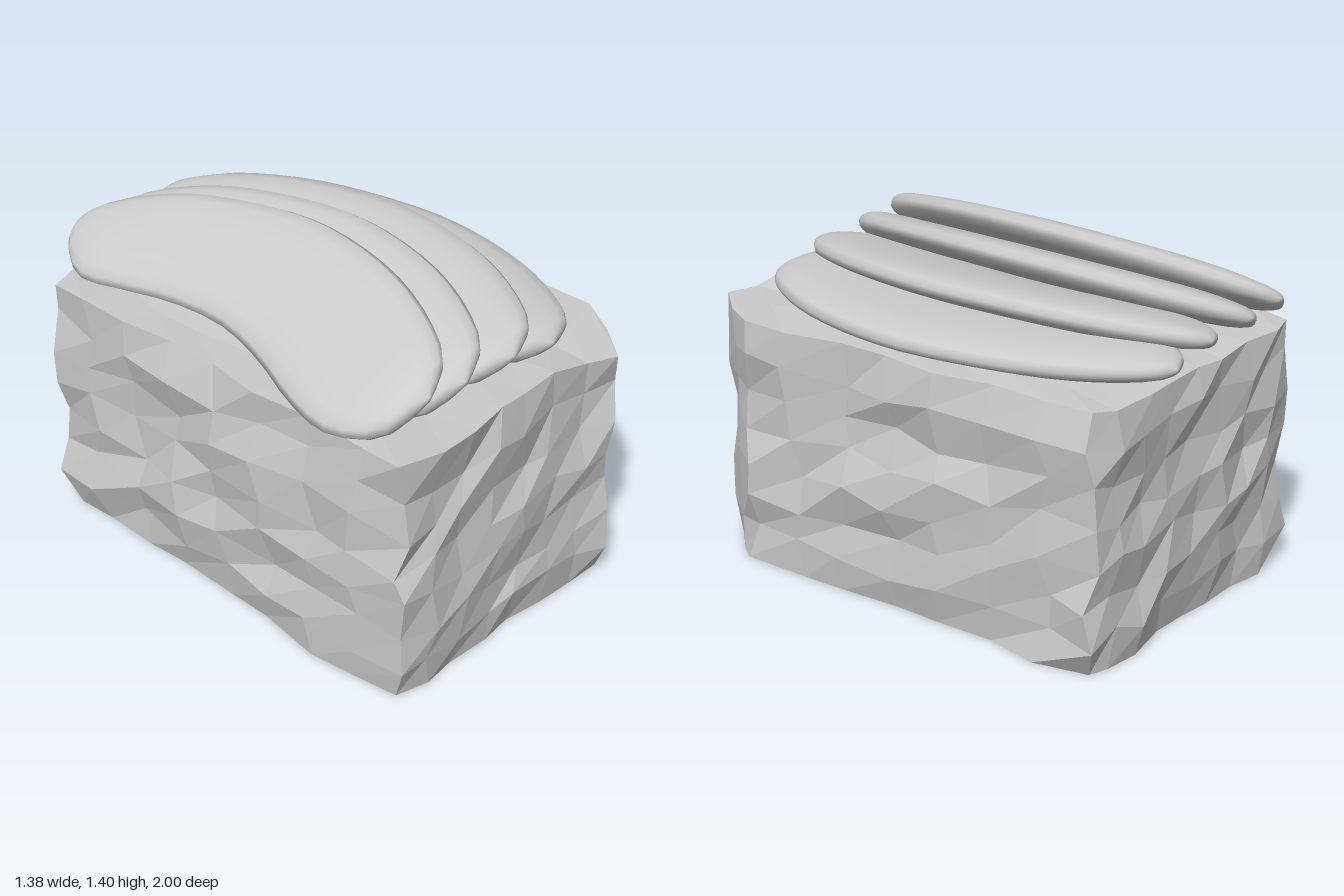
import * as THREE from 'three';

const grey = { color: 0xcccccc };

// Repeatable jitter in -1..1 from a position, so shared corners stay joined
function jitter(x, y, z, seed) {
  const s = Math.sin(Math.round(x * 100) * 12.99 + Math.round(y * 100) * 78.23 + Math.round(z * 100) * 37.72 + seed * 91.7) * 43758.55;
  return (s - Math.floor(s)) * 2 - 1;
}

// Rough block: a divided box with worn edges, a cut front corner and a flat base
function createBlock() {
  const g = new THREE.BoxGeometry(1.3, 1.03, 1.88, 8, 7, 8);
  const p = g.attributes.position;
  for (let i = 0; i < p.count; i++) {
    const bx = p.getX(i), by = p.getY(i), bz = p.getZ(i);
    const j = (seed) => jitter(bx, by, bz, seed);
    const onX = Math.abs(bx) > 0.64, onZ = Math.abs(bz) > 0.93;
    const top = by > 0.51, base = by < -0.51;
    let x = bx - 0.005 + j(1) * 0.035;
    let y = by + 0.515 + j(2) * (top ? 0.008 : 0.03);
    let z = bz + 0.012 + j(3) * (onZ ? 0.025 : 0.04);
    // Worn upright edges, tucked-in base and raised front rim
    if (onX && onZ) { x *= 0.985; z *= 0.98; }
    if (base) {
      y = 0;
      if (onX) x *= 0.97;
      if (onZ) z *= onX ? 0.95 : 0.97;
    }
    if (top && onZ) y += bz > 0 && bx < 0.2 ? 0.025 : -0.01;
    // The left side widens towards the front, where a shoulder juts out
    if (onX && bx > 0) x += 0.025 * bz;
    if (onZ && bz > 0 && !base) z += 0.03 * Math.exp(-Math.pow((bx - 0.5) / 0.12, 2));
    // Cut the front left corner, hollowed at mid height
    const over = (x - 0.5) / 0.2 + (z - 0.96) / 0.28;
    if (over > 0) {
      const hollow = over * (1 + 0.2 * Math.exp(-Math.pow((y - 0.66) / 0.1, 2)));
      x -= hollow * 0.08;
      z -= hollow * 0.16;
    }
    p.setXYZ(i, x, y, z);
  }
  const flat = g.toNonIndexed();
  flat.computeVertexNormals();
  const mesh = new THREE.Mesh(flat, new THREE.MeshStandardMaterial({ ...grey, flatShading: true }));
  mesh.name = 'block';
  return mesh;
}

// Slice outline: inner edge, outer edge, z
const outline = new THREE.CatmullRomCurve3([
  [0.28, 0.30, -1.0], [0.18, 0.39, -0.95], [0.09, 0.51, -0.8], [0.12, 0.61, -0.6],
  [0.17, 0.68, -0.35], [0.18, 0.72, -0.08], [0.13, 0.71, 0.15], [0.04, 0.66, 0.4],
  [0.01, 0.58, 0.6], [0.09, 0.46, 0.78], [0.28, 0.30, 0.85],
].map((a) => new THREE.Vector3(...a)));

// Bean-shaped slice: rounded flat sections lofted front to back
function createSliceGeometry() {
  const rows = 24, sides = 16, pos = [], idx = [];
  for (let r = 0; r <= rows; r++) {
    const { x: inner, y: outer, z } = outline.getPoint(r / rows);
    const mid = (inner + outer) / 2, half = Math.max((outer - inner) / 2, 0.005);
    const h = 0.061 * Math.min(1, Math.pow(half / 0.24, 0.6));
    for (let s = 0; s < sides; s++) {
      const a = (s / sides) * Math.PI * 2, c = Math.cos(a), n = Math.sin(a);
      const u = mid + half * Math.sign(c) * Math.pow(Math.abs(c), 0.8);
      pos.push(u, h * Math.sign(n) * Math.pow(Math.abs(n), 0.85), z);
      if (r < rows) {
        const i = r * sides + s, k = r * sides + (s + 1) % sides;
        idx.push(i, k, i + sides, k, k + sides, i + sides);
      }
    }
  }
  // Close both tips
  for (let s = 1; s < sides - 1; s++) {
    const e = rows * sides;
    idx.push(0, s + 1, s, e, e + s, e + s + 1);
  }
  const g = new THREE.BufferGeometry();
  g.setAttribute('position', new THREE.Float32BufferAttribute(pos, 3));
  g.setIndex(idx);
  g.computeVertexNormals();
  return g;
}

export function createModel() {
  const model = new THREE.Group();
  model.name = 'slicesOnBlock';
  model.add(createBlock());

  // Four slices fanned across the top: x, y of the low edge and tilt in degrees
  const geometry = createSliceGeometry();
  const material = new THREE.MeshStandardMaterial(grey);
  [[-0.68, 1.035, 29], [-0.5, 1.04, 23.5], [-0.255, 1.075, 14], [-0.045, 1.1, 0.5]].forEach(([x, y, tilt], i) => {
    const slice = new THREE.Mesh(geometry, material);
    slice.name = 'slice' + (i + 1);
    slice.position.set(x, y, 0);
    slice.rotation.z = THREE.MathUtils.degToRad(tilt);
    model.add(slice);
  });
  return model;
}
